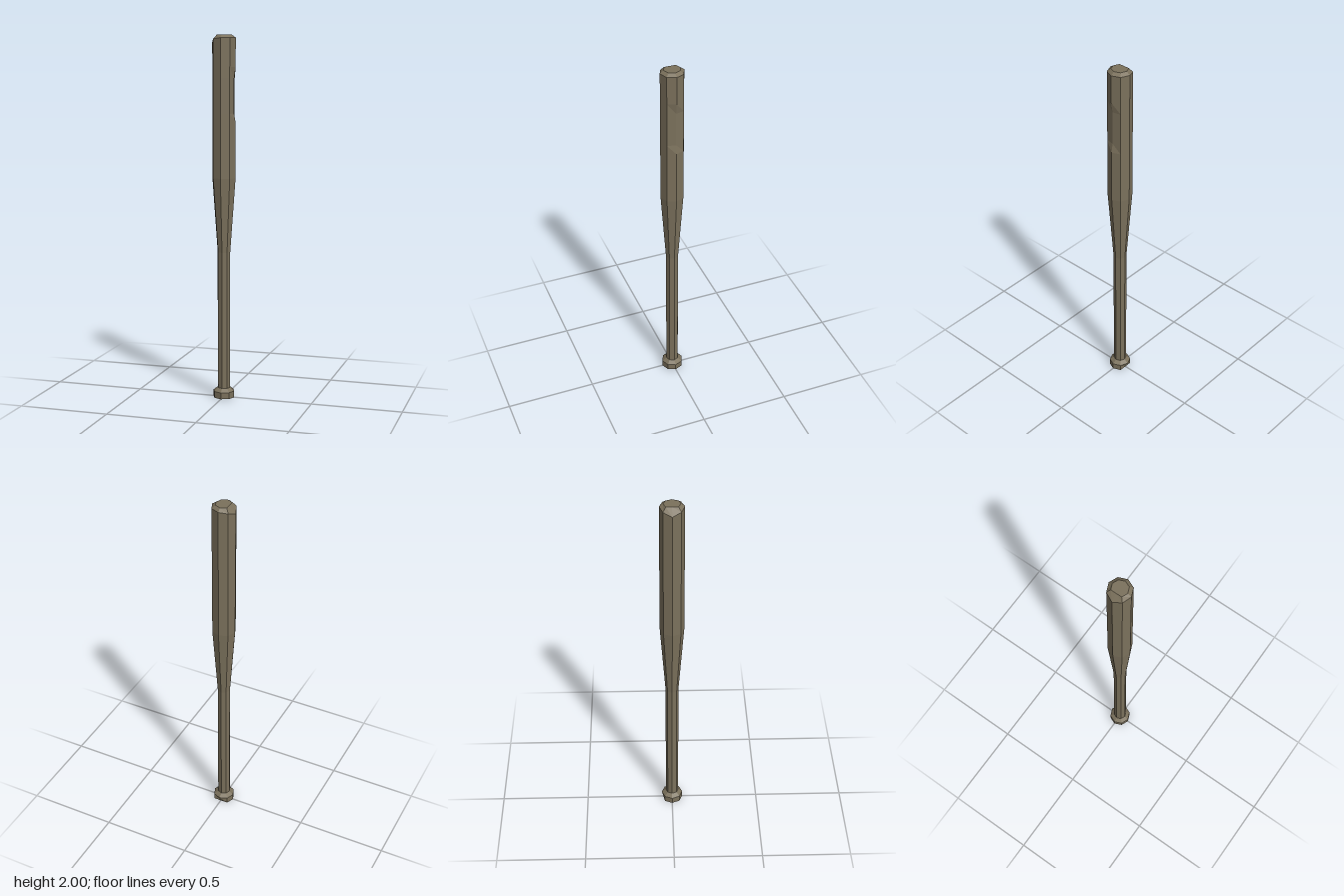
import * as THREE from 'three';

const SIDES = 8;

// Eight-sided turned part from [radius, height] pairs; reshape(v) adds wear to single corners.
function turned(name, profile, material, reshape) {
  const points = profile.map(([r, y]) => new THREE.Vector2(r, y));
  const lathe = new THREE.LatheGeometry(points, SIDES);
  lathe.deleteAttribute('normal');
  lathe.deleteAttribute('uv');
  const pos = lathe.attributes.position;
  const v = new THREE.Vector3();
  if (reshape) {
    for (let i = 0; i < pos.count; i++) {
      v.fromBufferAttribute(pos, i);
      reshape(v);
      pos.setXYZ(i, v.x, v.y, v.z);
    }
  }
  const geometry = lathe.toNonIndexed();
  geometry.computeVertexNormals();
  const mesh = new THREE.Mesh(geometry, material);
  mesh.name = name;
  return mesh;
}

export function createModel() {
  const group = new THREE.Group();
  group.name = 'bat';
  const wood = new THREE.MeshStandardMaterial({ color: 0x7b715c });
  wood.name = 'weathered wood';

  // Knob, with its lower back edge worn away
  group.add(turned('knob', [[0, 0], [0.06, 0], [0.06, 0.036], [0.036, 0.055]], wood, (v) => {
    if (v.y < 0.01) v.z = Math.max(v.z, -0.043);
  }));

  // Straight grip widening into the barrel
  group.add(turned('handle', [[0.036, 0.055], [0.036, 0.82], [0.066, 1.23]], wood));

  // Barrel with a shaved left edge and a chipped right rim
  const barrel = [
    [0.066, 1.23], [0.066, 1.53], [0.066, 1.58], [0.066, 1.77],
    [0.066, 1.83], [0.066, 1.985], [0.045, 2], [0, 2],
  ];
  group.add(turned('barrel', barrel, wood, (v) => {
    if (v.x > 0.06 && v.y > 1.55 && v.y < 1.8) v.x = 0.057;
    if (v.y > 1.99) v.x = Math.max(v.x, -0.031);
    else if (v.y > 1.9 && v.x < -0.06) v.y = 1.96;
    else if (v.y > 1.9 && v.x < -0.03) v.y = 1.978;
  }));

  return group;
}
